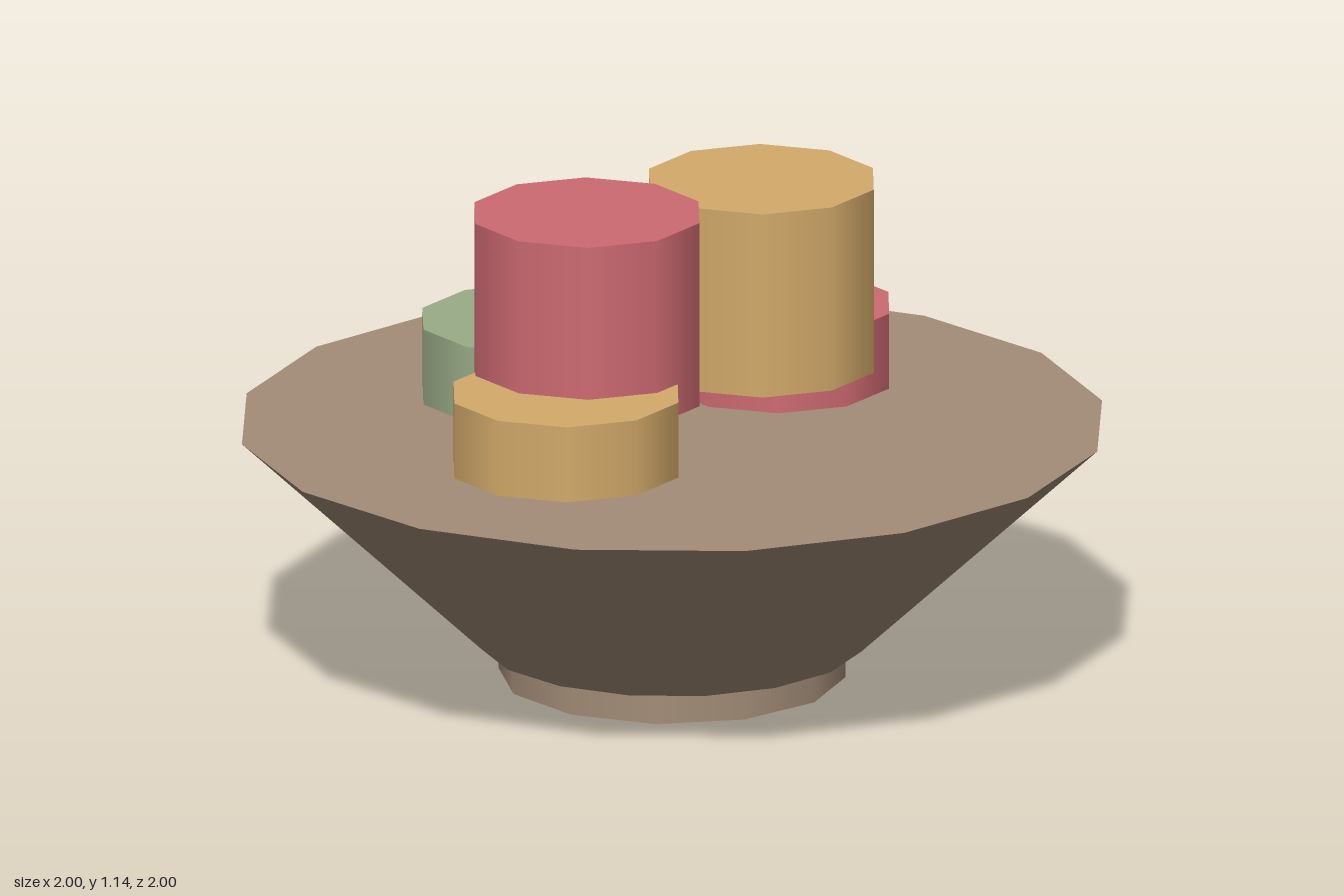
import * as THREE from 'three';

const mat = (name, color) => {
  const m = new THREE.MeshStandardMaterial({ color });
  m.name = name;
  return m;
};

export function createModel() {
  const clay = mat('clay brown', 0xa38d78);
  const red = mat('rose red', 0xce6a72);
  const tan = mat('golden tan', 0xd3aa6a);
  const green = mat('sage green', 0x9aac88);
  const group = new THREE.Group();

  // Capped cylinder or cone standing between two heights
  const drum = (name, material, rTop, rBottom, sides, x, y0, y1, z) => {
    const geometry = new THREE.CylinderGeometry(rTop, rBottom, y1 - y0, sides);
    geometry.rotateY(Math.PI / 2);
    const mesh = new THREE.Mesh(geometry, material);
    mesh.name = name;
    mesh.position.set(x, (y0 + y1) / 2, z);
    group.add(mesh);
  };

  // Dish and its foot
  drum('foot', clay, 0.4, 0.4, 12, 0, 0, 0.082, 0);
  drum('bowl', clay, 1, 0.445, 16, 0, 0.08, 0.6, 0);

  // Lower ring of pieces, sunk into the bowl
  const pieces = [
    ['lowerPieceLeft', red, 0.415, 0.34, 0],
    ['lowerPieceBack', green, 0, 0.34, -0.385],
    ['lowerPieceRight', tan, -0.42, 0.34, 0],
    // Upper pair stacked on top
    ['upperPieceLeft', tan, 0.22, 0.705, 0.095],
    ['upperPieceRight', red, -0.22, 0.705, -0.083],
  ];
  for (const [name, material, x, y, z] of pieces) {
    drum(name, material, 0.27, 0.27, 10, x, y, y + 0.44, z);
  }
  return group;
}
